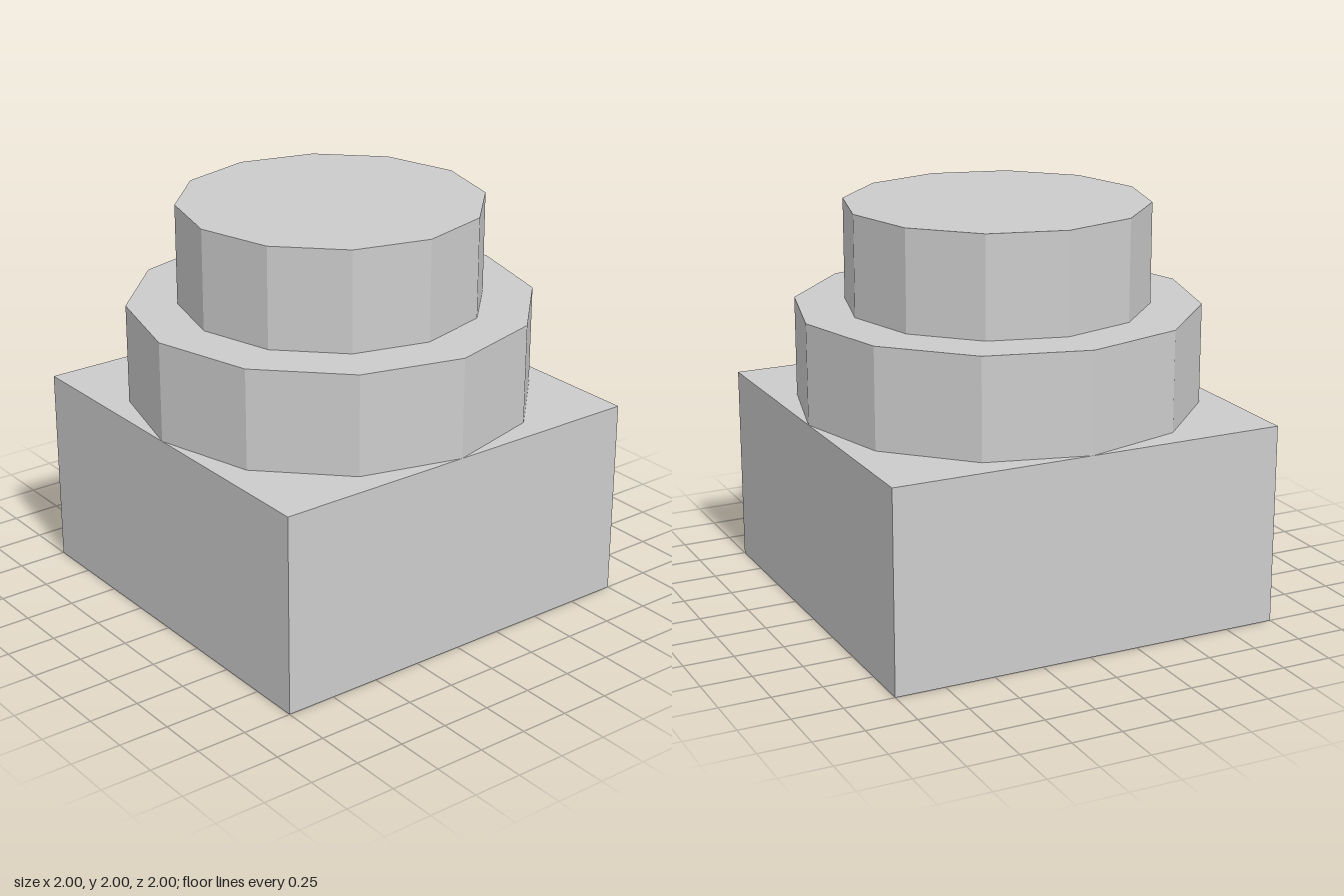
import * as THREE from 'three';

export function createModel() {
  const model = new THREE.Group();
  const material = new THREE.MeshStandardMaterial({ color: 0xcccccc, flatShading: true });

  const addPart = (name, geometry, y) => {
    const mesh = new THREE.Mesh(geometry, material);
    mesh.name = name;
    mesh.position.y = y;
    model.add(mesh);
  };

  // Square block at the bottom
  addPart('base', new THREE.BoxGeometry(2, 1, 2), 0.5);

  // Two stacked twelve-sided drums, with corners on the x and z axes
  addPart('lowerDrum', new THREE.CylinderGeometry(1, 1, 0.5, 12), 1.25);
  addPart('upperDrum', new THREE.CylinderGeometry(0.75, 0.75, 0.5, 12), 1.75);

  return model;
}
